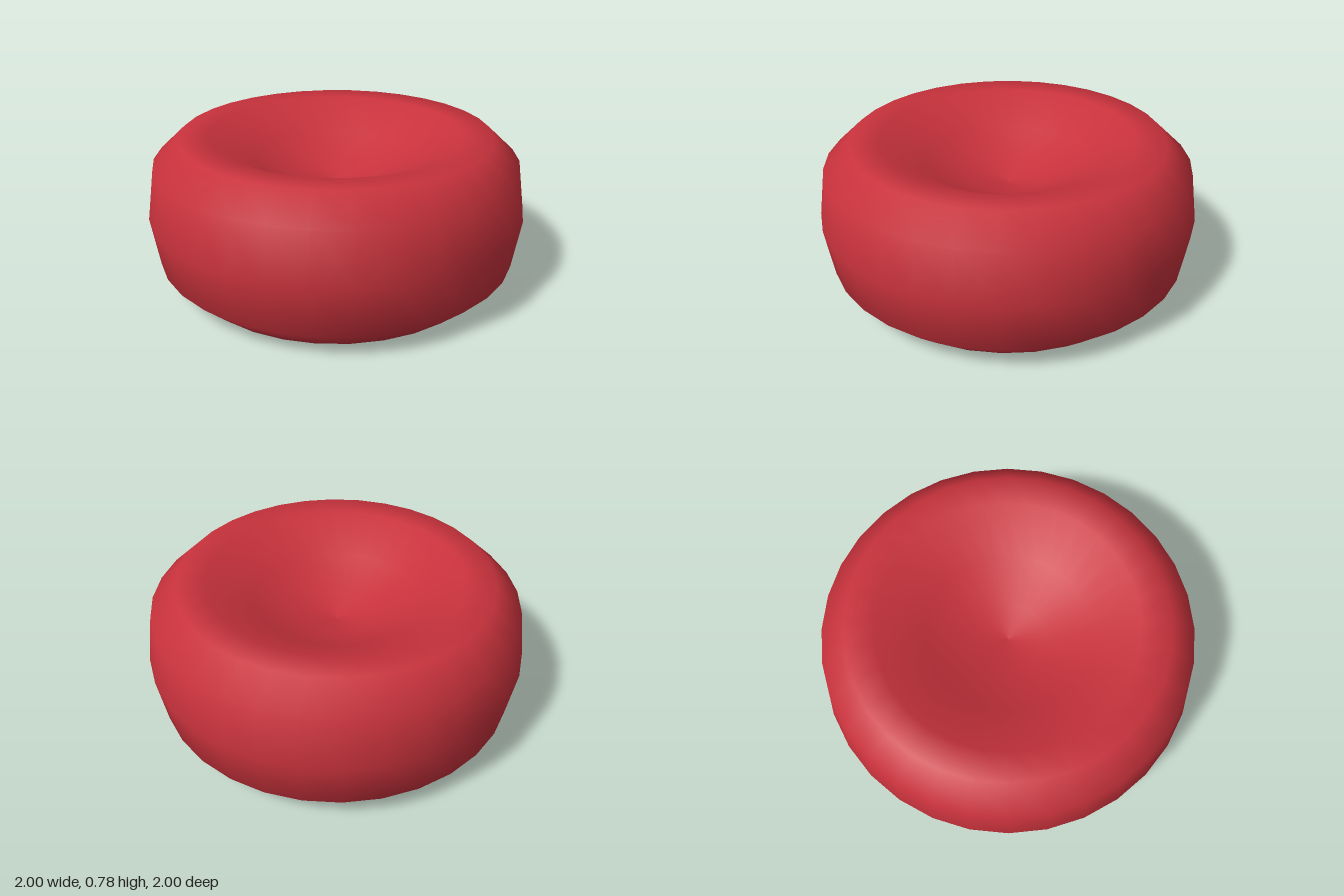
import * as THREE from 'three';

export function createModel() {
  const group = new THREE.Group();
  group.name = 'dimpledDisc';

  const red = new THREE.MeshStandardMaterial({ color: 0xc8323c });
  red.name = 'red';

  // Upper half of the profile: radius, height above the mid plane
  const mid = 0.39;
  const upper = [
    [0.96, 0.26], [0.82, 0.39], [0.67, 0.385],
    [0.43, 0.255], [0.2, 0.145], [0, 0.11],
  ];

  // Mirror it below the equator so both faces are dimpled
  const profile = [
    ...upper.map(([r, h]) => new THREE.Vector2(r, mid - h)).reverse(),
    new THREE.Vector2(1, mid),
    ...upper.map(([r, h]) => new THREE.Vector2(r, mid + h)),
  ];

  const body = new THREE.Mesh(new THREE.LatheGeometry(profile, 32), red);
  body.name = 'discBody';
  group.add(body);

  return group;
}
